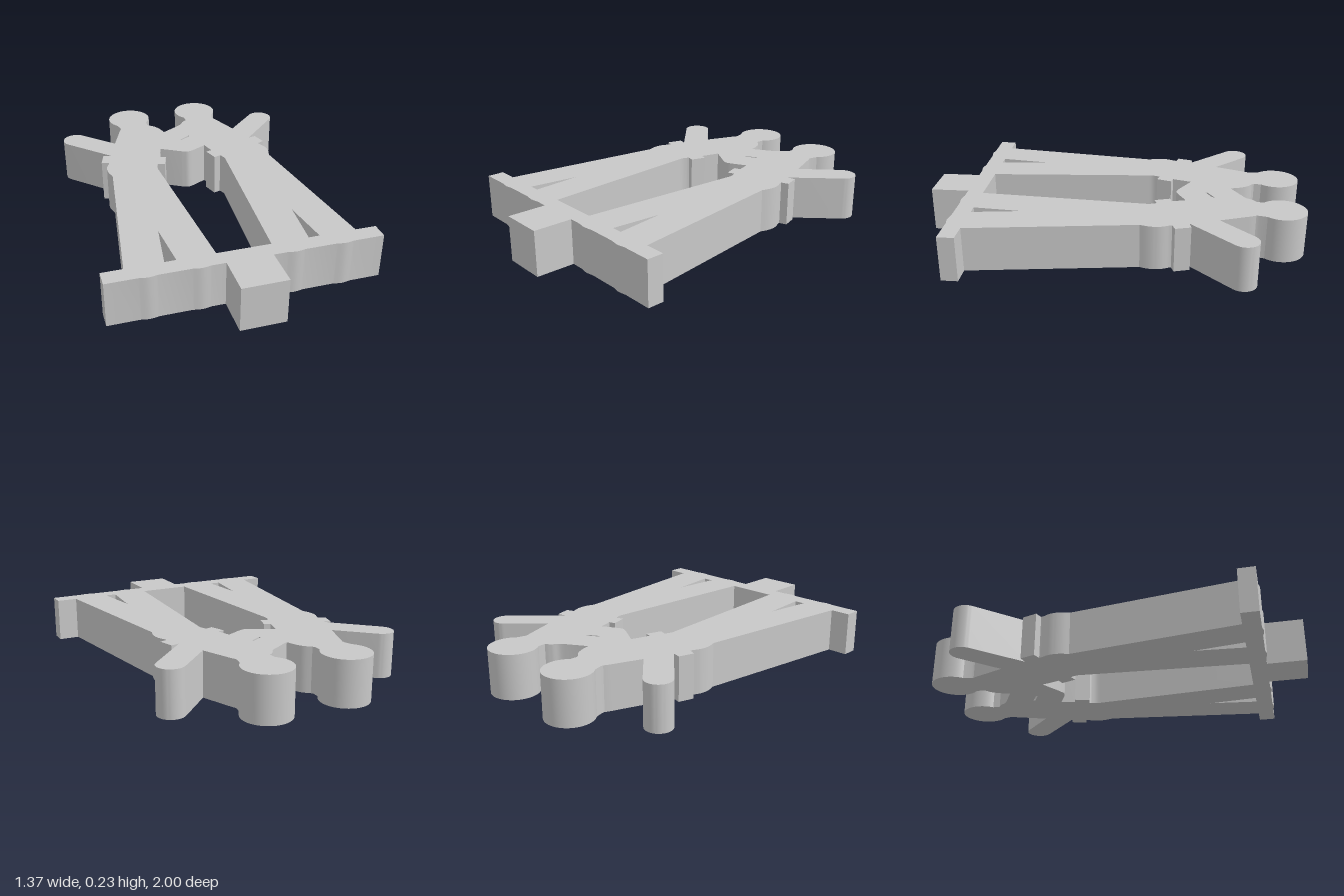
import * as THREE from 'three';
import { toCreasedNormals } from 'three/addons/utils/BufferGeometryUtils.js';

const THICKNESS = 0.235;

const pts = (list) => list.map(([x, y]) => new THREE.Vector2(x, y));
const mirror = (list) => list.map((p) => new THREE.Vector2(-p.x, p.y)).reverse();

// points on a circular arc, angles in degrees
function arc(cx, cy, r, from, to, steps) {
  const out = [];
  for (let i = 0; i <= steps; i++) {
    const a = THREE.MathUtils.degToRad(from + ((to - from) * i) / steps);
    out.push(new THREE.Vector2(cx + r * Math.cos(a), cy + r * Math.sin(a)));
  }
  return out;
}

// smooth curve through a few points
const smooth = (list, n) => new THREE.SplineCurve(pts(list)).getPoints(n);

// shallow sole below the crossbar
const foot = (x) => smooth([[x + 0.045, -0.797], [x, -0.804], [x - 0.045, -0.797]], 8);

export function createModel() {
  const group = new THREE.Group();
  group.name = 'coupleCutout';
  const grey = new THREE.MeshStandardMaterial({ color: 0xc8c8c8 });
  grey.name = 'plain grey';

  // outer contour of one figure, from inner neck round to the peg
  const half = [
    ...pts([[0.125, 0.752]]),
    ...arc(0.2145, 0.876, 0.125, 223, -43, 48), // head
    ...pts([[0.295, 0.75]]),
    ...smooth([[0.295, 0.735], [0.307, 0.71], [0.318, 0.68]], 6), // outer shoulder
    ...pts([[0.368, 0.55]]),
    ...arc(0.585, 0.665, 0.07, 135, -45, 24), // raised hand
    ...pts([[0.42, 0.4], [0.463, 0.41], [0.487, 0.33], [0.448, 0.316]]), // sleeve end
    ...smooth([[0.451, 0.303], [0.468, 0.265], [0.473, 0.23], [0.469, 0.195], [0.457, 0.157]], 16), // hip
    ...pts([[0.575, -0.71], [0.683, -0.71], [0.683, -0.797]]), // leg and crossbar end
    ...foot(0.48),
    ...foot(0.23),
    ...pts([[0.115, -0.797], [0.115, -1]]), // peg
  ];

  // embracing shoulders between the two necks
  const embrace = [
    ...smooth([[-0.118, 0.74], [-0.085, 0.71], [-0.062, 0.665], [-0.05, 0.622]], 12),
    ...pts([[-0.042, 0.625]]),
    ...smooth([[0.055, 0.683], [0.078, 0.7], [0.095, 0.727], [0.115, 0.745]], 8),
  ];
  // counterclockwise, so that the walls of the holes are turned to match
  const shape = new THREE.Shape([...half, ...mirror(half), ...embrace].reverse());

  // opening between the figures, below the joined arms
  const innerSide = [
    ...pts([[0.155, 0.305], [0.121, 0.295], [0.147, 0.215], [0.184, 0.227]]),
    ...smooth([[0.188, 0.222], [0.199, 0.19], [0.198, 0.157]], 6),
    ...pts([[0.137, -0.71]]),
  ];
  shape.holes.push(new THREE.Path([
    ...pts([[-0.125, 0.405]]),
    ...smooth([[-0.015, 0.34], [0.022, 0.327], [0.06, 0.34]], 10),
    ...pts([[0.134, 0.378]]),
    ...innerSide,
    ...mirror(innerSide),
  ]));

  // slits between the legs of each figure
  for (const s of [-1, 1]) {
    shape.holes.push(new THREE.Path(pts([[s * 0.35, -0.45], [s * 0.385, -0.71], [s * 0.328, -0.71]])));
  }

  // slit between the joined arms
  shape.holes.push(new THREE.Path(pts([[0.018, 0.492], [0.082, 0.531], [0.08, 0.517], [0.022, 0.484]])));

  const geometry = new THREE.ExtrudeGeometry(shape, { depth: THICKNESS, bevelEnabled: false });
  geometry.rotateX(-Math.PI / 2);
  const figures = new THREE.Mesh(toCreasedNormals(geometry, 0.3), grey);
  figures.name = 'figuresWithStand';
  group.add(figures);
  return group;
}
